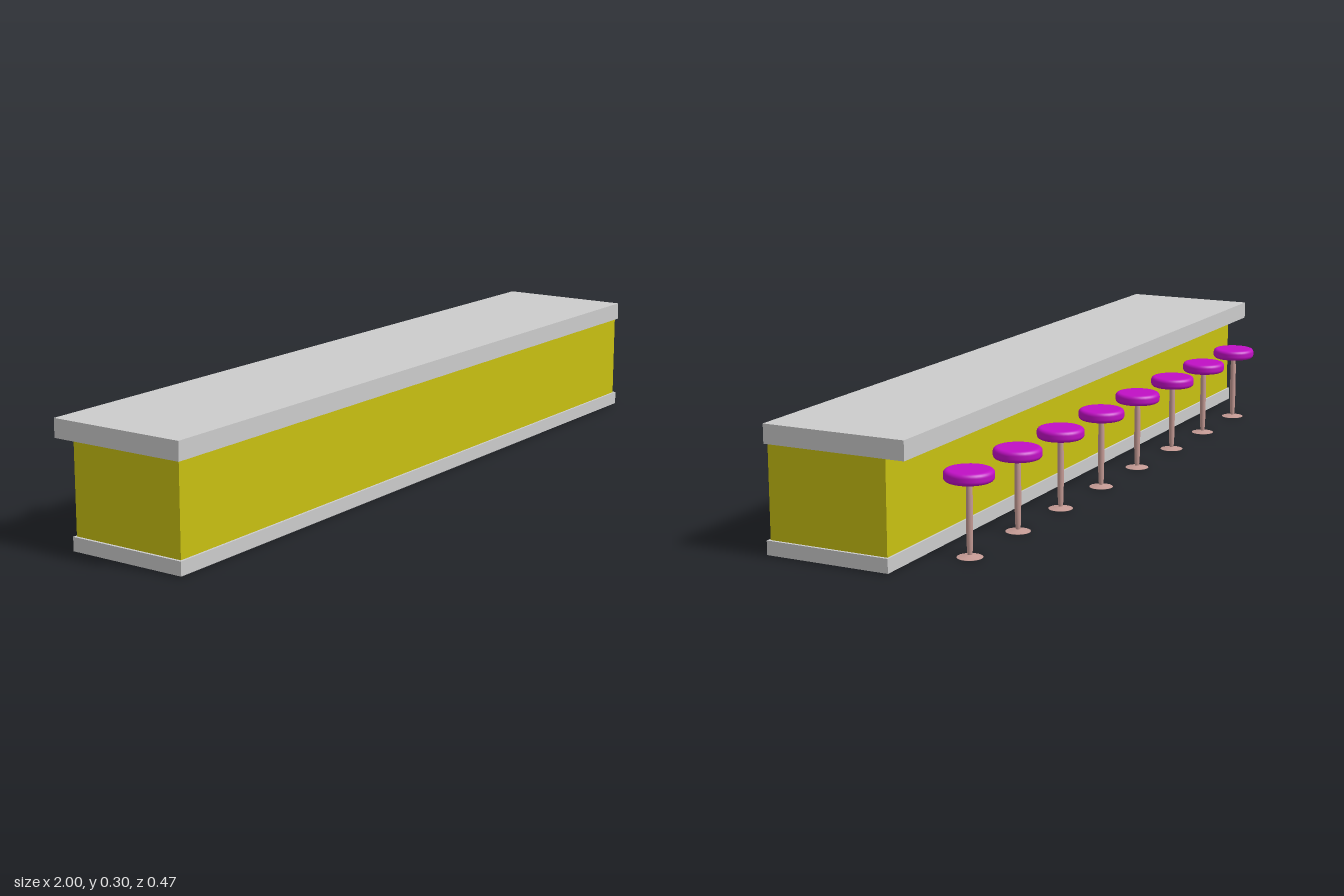
import * as THREE from 'three';

const grey = new THREE.MeshStandardMaterial({ color: 0xcccccc });
const yellow = new THREE.MeshStandardMaterial({ color: 0xc8c012 });
const purple = new THREE.MeshStandardMaterial({ color: 0xc010c4 });
const metal = new THREE.MeshStandardMaterial({ color: 0xc49a94 });

// Box given by its half width and its y and z extents
function slab(name, halfX, y0, y1, z0, z1, material) {
  const mesh = new THREE.Mesh(new THREE.BoxGeometry(halfX * 2, y1 - y0, z1 - z0), material);
  mesh.position.set(0, (y0 + y1) / 2, (z0 + z1) / 2);
  mesh.name = name;
  return mesh;
}

// Turned part from [radius, height] pairs, listed bottom to top
function turned(name, profile, material) {
  const points = profile.map(([r, y]) => new THREE.Vector2(r, y));
  const mesh = new THREE.Mesh(new THREE.LatheGeometry(points, 32), material);
  mesh.name = name;
  return mesh;
}

// Seat outline: flat underside, rounded rim, nearly flat top
function seatProfile() {
  const radius = 0.058, bottom = 0.176, top = 0.2035, round = 0.01;
  const profile = [[0, bottom], [radius - round - 0.001, bottom]];
  for (let i = 0; i <= 6; i++) {
    const a = -Math.PI / 2 + (i / 6) * Math.PI / 2;
    profile.push([radius - round + round * Math.cos(a), bottom + round + round * Math.sin(a)]);
  }
  for (let i = 0; i <= 6; i++) {
    const a = (i / 6) * Math.PI / 2;
    profile.push([radius - round + round * Math.cos(a), top - round + round * Math.sin(a)]);
  }
  profile.push([radius - round - 0.001, top], [0, top]);
  return profile;
}

function makeStool() {
  const stool = new THREE.Group();
  stool.name = 'stool';
  stool.add(
    turned('stoolSeat', seatProfile(), purple),
    // Column swells gently towards its middle
    turned('stoolColumn', [
      [0.005, 0.003], [0.0065, 0.015], [0.0075, 0.04], [0.008, 0.09],
      [0.0078, 0.14], [0.007, 0.165], [0.006, 0.178],
    ], metal),
    // Shallow conical foot
    turned('stoolFoot', [[0, 0], [0.03, 0], [0.03, 0.0008], [0.015, 0.003], [0.006, 0.006], [0, 0.006]], metal),
  );
  return stool;
}

export function createModel() {
  const model = new THREE.Group();
  model.name = 'barCounter';

  // Counter: plinth, body and overhanging top
  model.add(
    slab('counterPlinth', 1, 0.002, 0.036, -0.08, 0.235, grey),
    slab('counterBody', 0.993, 0.036, 0.258, -0.075, 0.229, yellow),
    slab('counterTop', 1, 0.258, 0.304, -0.126, 0.235, grey),
  );

  // Row of stools along the overhang
  for (const x of [-0.786, -0.555, -0.332, -0.101, 0.121, 0.352, 0.575, 0.806]) {
    const stool = makeStool();
    stool.position.set(x, 0, -0.175);
    model.add(stool);
  }
  return model;
}
